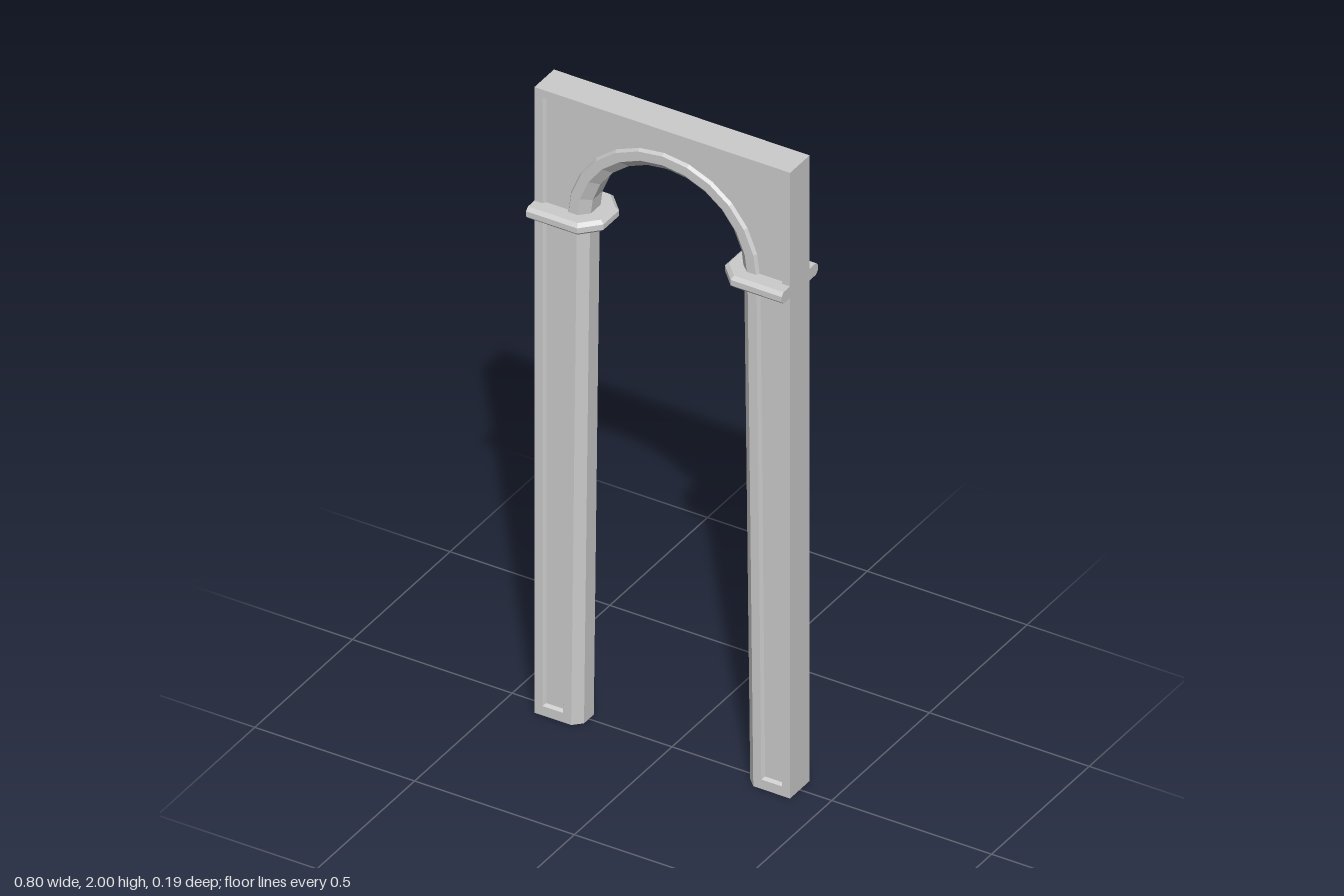
import * as THREE from 'three';
import { ConvexGeometry } from 'three/addons/geometries/ConvexGeometry.js';

const TOP = 2, HALF_W = 0.4, HALF_D = 0.05, CHAMFER_Z = 0.025;
const SPRING = 1.62, ARCH_SEGMENTS = 12;
const material = new THREE.MeshStandardMaterial({ color: 0xcccccc, flatShading: true });

// Outline of the opening from left foot over the arch to right foot
function opening(radius, footX, footY) {
  const pts = [new THREE.Vector2(-footX, footY)];
  for (let i = 0; i <= ARCH_SEGMENTS; i++) {
    const a = Math.PI * (1 - i / ARCH_SEGMENTS);
    pts.push(new THREE.Vector2(radius * Math.cos(a), SPRING + radius * Math.sin(a)));
  }
  pts.push(new THREE.Vector2(footX, footY));
  return pts;
}

// Outline of the sunken panel, shrunk by an inset
function panelOutline(inset) {
  const x = 0.375 - inset, low = 0.03 + inset, high = 1.975 - inset;
  return [
    ...opening(0.295 + inset, 0.31 + inset, low),
    new THREE.Vector2(x, low), new THREE.Vector2(x, high),
    new THREE.Vector2(-x, high), new THREE.Vector2(-x, low),
  ];
}

// Strip of quads between two outlines lying at two depths
function loft(a, za, b, zb, closed = false) {
  const pos = [], n = a.length;
  for (let i = 0; i < (closed ? n : n - 1); i++) {
    const j = (i + 1) % n;
    const a0 = [a[i].x, a[i].y, za], a1 = [a[j].x, a[j].y, za];
    const b0 = [b[i].x, b[i].y, zb], b1 = [b[j].x, b[j].y, zb];
    pos.push(...a0, ...b0, ...a1, ...a1, ...b0, ...b1);
  }
  const g = new THREE.BufferGeometry();
  g.setAttribute('position', new THREE.Float32BufferAttribute(pos, 3));
  g.computeVertexNormals();
  return g;
}

function add(group, name, geometry) {
  const mesh = new THREE.Mesh(geometry, material);
  mesh.name = name;
  group.add(mesh);
  return mesh;
}

// One half of the wall's thickness, facing +z
function wallHalf() {
  const half = new THREE.Group();
  const edge = opening(0.267, 0.285, 0);
  const inner = opening(0.241, 0.26, 0);
  const outer = [[-HALF_W, 0], [-HALF_W, TOP], [HALF_W, TOP], [HALF_W, 0]]
    .map(([x, y]) => new THREE.Vector2(x, y));

  // Raised border around the panel
  const border = new THREE.Shape([...outer, ...edge.slice().reverse()]);
  border.holes.push(new THREE.Path(panelOutline(0)));
  add(half, 'border', new THREE.ShapeGeometry(border).translate(0, 0, HALF_D));

  // Sunken panel with sloped rim
  const floorZ = HALF_D - 0.01, floor = panelOutline(0.006);
  add(half, 'panel', new THREE.ShapeGeometry(new THREE.Shape(floor)).translate(0, 0, floorZ));
  add(half, 'panelRim', loft(floor, floorZ, panelOutline(0), HALF_D, true));

  // Chamfer and reveal of the opening, then the outside faces
  add(half, 'openingChamfer', loft(edge, HALF_D, inner, CHAMFER_Z));
  add(half, 'openingReveal', loft(inner, CHAMFER_Z, inner, 0));
  add(half, 'outerFaces', loft(outer, 0, outer, HALF_D));

  // Undersides of the feet
  for (const s of [-1, 1]) {
    const foot = new THREE.Shape([
      [0.26, 0], [HALF_W, 0], [HALF_W, HALF_D], [0.285, HALF_D], [0.26, CHAMFER_Z],
    ].map(([x, z]) => new THREE.Vector2(s * x, z)));
    add(half, 'footUnderside', new THREE.ShapeGeometry(foot).rotateX(Math.PI / 2));
  }
  return half;
}

// Bevelled band around a leg, flush with the outer side
function capital(side) {
  const pts = [];
  for (const [y, inset] of [[1.6, 0.01], [1.61, 0], [1.627, 0], [1.637, 0.01]]) {
    for (const s of [-1, 1]) {
      pts.push(
        new THREE.Vector3(side * HALF_W, y, s * (0.093 - inset)),
        new THREE.Vector3(side * (0.24 + inset * 0.45), y, s * (0.093 - inset)),
        new THREE.Vector3(side * (0.19 + inset), y, s * (0.04 - inset * 0.4)),
      );
    }
  }
  return new ConvexGeometry(pts);
}

export function createModel() {
  const model = new THREE.Group();
  model.name = 'archway';

  const front = wallHalf();
  front.name = 'frontWall';
  const back = wallHalf();
  back.name = 'backWall';
  back.rotation.y = Math.PI;
  model.add(front, back);

  add(model, 'leftCapital', capital(1));
  add(model, 'rightCapital', capital(-1));
  return model;
}
